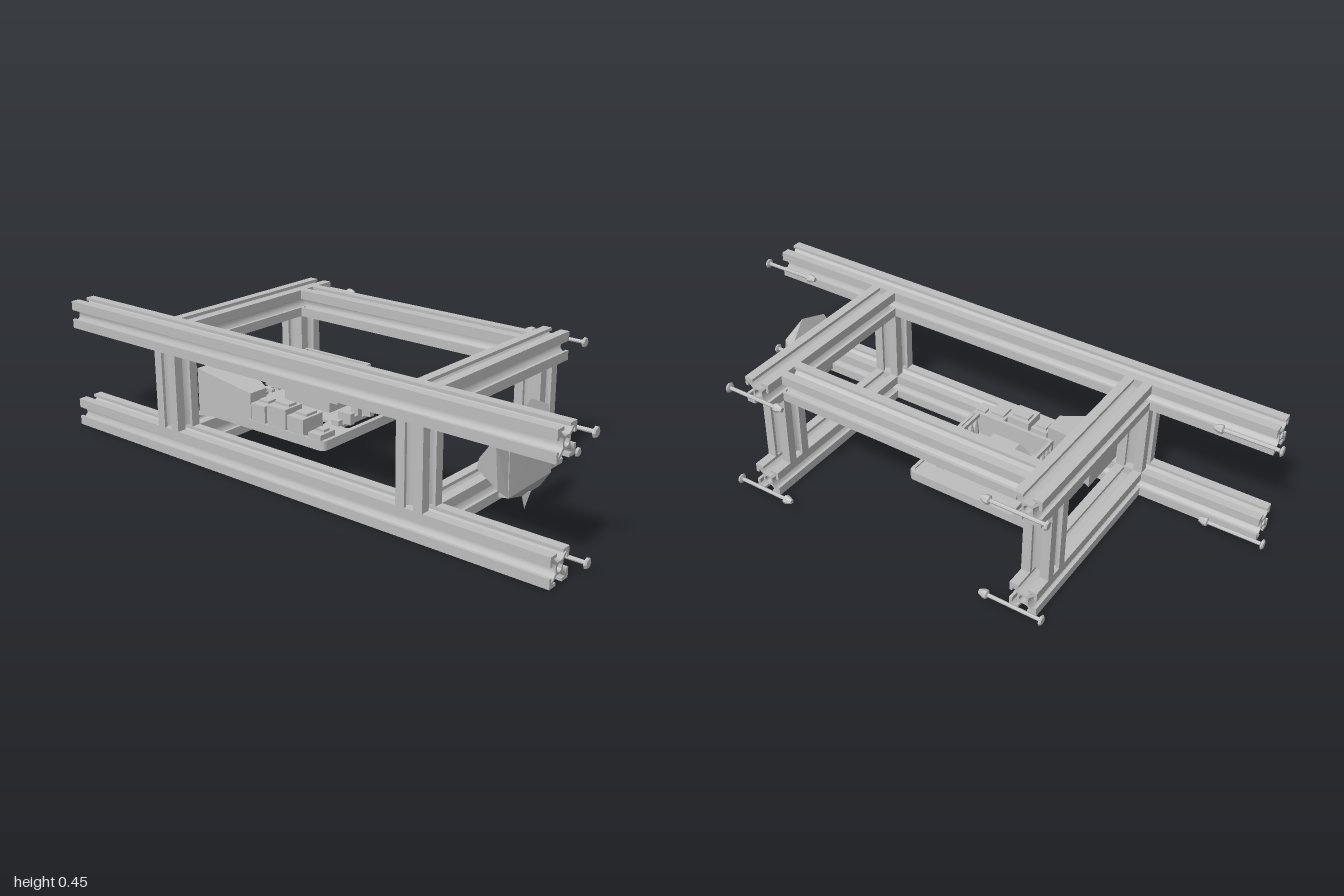
import * as THREE from 'three';
import { toCreasedNormals } from 'three/addons/utils/BufferGeometryUtils.js';
import { ConvexGeometry } from 'three/addons/geometries/ConvexGeometry.js';

const aluminium = new THREE.MeshStandardMaterial({ color: 0xbfbfbf, side: THREE.DoubleSide });
aluminium.name = 'aluminium grey';

function add(parent, name, geometry, x = 0, y = 0, z = 0) {
  const mesh = new THREE.Mesh(geometry, aluminium);
  mesh.name = name;
  mesh.position.set(x, y, z);
  parent.add(mesh);
  return mesh;
}

// Box given by its limits on each axis
function box(parent, name, [x0, x1], [y0, y1], [z0, z1]) {
  return add(parent, name, new THREE.BoxGeometry(x1 - x0, y1 - y0, z1 - z0),
    (x0 + x1) / 2, (y0 + y1) / 2, (z0 + z1) / 2);
}

function hull(parent, name, points) {
  return add(parent, name, new ConvexGeometry(points.map(p => new THREE.Vector3(...p))));
}

// T-slot section: one side repeated four times around a round bore
function slotProfile() {
  const half = [[0.0475, 0.0475], [0.016, 0.0475], [0.016, 0.0375], [0.032, 0.0375], [0.0135, 0.019]];
  const side = [...half, ...half.slice(1).reverse().map(([x, y]) => [-x, y])];
  const points = [];
  for (let i = 0; i < 4; i++) {
    for (const [x, y] of side) {
      points.push(new THREE.Vector2(x, y).rotateAround(new THREE.Vector2(), i * Math.PI / 2));
    }
  }
  const shape = new THREE.Shape(points);
  shape.holes.push(new THREE.Path().absarc(0, 0, 0.013, 0, Math.PI * 2, true));
  return shape;
}

function beam(parent, name, axis, length, x, y, z) {
  const g = new THREE.ExtrudeGeometry(slotProfile(), { depth: length, bevelEnabled: false, curveSegments: 8 });
  g.translate(0, 0, -length / 2);
  if (axis === 'x') g.rotateY(Math.PI / 2);
  if (axis === 'y') g.rotateX(-Math.PI / 2);
  return add(parent, name, toCreasedNormals(g, 0.8), x, y, z);
}

// Bolt along x, its flange pointing outwards
function bolt(parent, name, side, outerX, y, z) {
  const profile = [[0, 0], [0.013, 0], [0.017, 0.004], [0.017, 0.008], [0.0065, 0.012], [0.0065, 0.19],
    [0.015, 0.194], [0.015, 0.204], [0.008, 0.222], [0, 0.222]];
  const g = new THREE.LatheGeometry(profile.map(p => new THREE.Vector2(...p)), 8);
  g.rotateZ(side * Math.PI / 2);
  add(parent, name, toCreasedNormals(g, 0.5), side * outerX, y, z);
}

function rectPath(path, x0, x1, y0, y1, r) {
  path.moveTo(x0 + r, y0).lineTo(x1 - r, y0).quadraticCurveTo(x1, y0, x1, y0 + r)
    .lineTo(x1, y1 - r).quadraticCurveTo(x1, y1, x1 - r, y1)
    .lineTo(x0 + r, y1).quadraticCurveTo(x0, y1, x0, y1 - r)
    .lineTo(x0, y0 + r).quadraticCurveTo(x0, y0, x0 + r, y0);
  return path;
}

// Flat slab lying in the xz plane, from an outline drawn with y = -z
function slab(parent, name, shape, y, height) {
  const g = new THREE.ExtrudeGeometry(shape, { depth: height, bevelEnabled: false, curveSegments: 4 });
  g.rotateX(-Math.PI / 2);
  return add(parent, name, toCreasedNormals(g, 0.5), 0, y, 0);
}

function buildFrame() {
  const frame = new THREE.Group();
  frame.name = 'frame';
  for (const [level, y] of [['lower', 0.0475], ['upper', 0.4025]]) {
    beam(frame, level + 'FrontRail', 'x', 1.92, 0, y, 0.3655);
    for (const s of [-1, 1]) beam(frame, level + 'SideRail', 'z', 0.673, s * 0.4975, y, -0.0185);
  }
  beam(frame, 'upperBackRail', 'x', 0.9, 0, 0.4025, -0.2425);
  for (const s of [-1, 1]) {
    for (const z of [0.3655, -0.2425]) beam(frame, 'post', 'y', 0.26, s * 0.4975, 0.225, z);
    for (const y of [0.037, 0.412]) {
      bolt(frame, 'frontBolt', s, 1, y, 0.28);
      bolt(frame, 'backBolt', s, 0.588, y, -0.39);
    }
  }
  return frame;
}

function buildBoard() {
  const board = new THREE.Group();
  board.name = 'circuitBoard';

  // Rim and the pierced board inside it
  const rim = rectPath(new THREE.Shape(), -0.425, 0.065, -0.28, 0.15, 0.02);
  rim.holes.push(rectPath(new THREE.Path(), -0.413, 0.053, -0.268, 0.138, 0.015));
  slab(board, 'trayRim', rim, 0.115, 0.032);
  const plate = rectPath(new THREE.Shape(), -0.415, 0.055, -0.27, 0.14, 0.015);
  plate.holes.push(rectPath(new THREE.Path(), -0.27, -0.05, -0.185, -0.115, 0.02));
  plate.holes.push(rectPath(new THREE.Path(), 0.005, 0.04, -0.13, 0.07, 0.01));
  slab(board, 'boardPlate', plate, 0.132, 0.01);

  // Small parts along the open edges
  for (let i = 0; i < 7; i++) {
    const z = -0.08 + i * 0.033;
    box(board, 'chip', [-0.025, 0.005 + (i % 3) * 0.012], [0.142, 0.16 + (i % 2) * 0.02], [z, z + 0.02]);
    box(board, 'edgePin', [-0.405, -0.385], [0.142, 0.152], [z, z + 0.016]);
  }
  // Row of sockets on the front edge
  for (const [x0, x1, top, z0] of [[-0.245, -0.185, 0.205, 0.2], [-0.175, -0.095, 0.215, 0.2],
    [-0.088, -0.02, 0.2, 0.185], [0, 0.052, 0.165, 0.21]]) {
    box(board, 'socket', [x0, x1], [0.142, top], [z0, 0.278]);
    box(board, 'socketLip', [x0 + 0.01, x1 - 0.01], [top, top + 0.008], [z0 + 0.015, 0.25]);
  }

  // Flared duct towards the right post
  hull(board, 'flaredDuct', [
    [-0.45, 0.125, 0.315], [-0.45, 0.29, 0.315], [-0.45, 0.125, 0.125], [-0.45, 0.29, 0.125],
    [-0.25, 0.14, 0.275], [-0.25, 0.235, 0.275], [-0.25, 0.14, 0.2], [-0.25, 0.235, 0.2]]);

  // Cooler: base, two walls, toothed ends and a faceted hub
  const cooler = new THREE.Group();
  cooler.name = 'cooler';
  board.add(cooler);
  box(cooler, 'coolerPedestal', [-0.3, -0.1], [0.142, 0.195], [-0.045, 0.06]);
  box(cooler, 'coolerBase', [-0.355, -0.035], [0.195, 0.207], [-0.098, 0.095]);
  for (const z of [-0.095, 0.08]) box(cooler, 'coolerWall', [-0.33, -0.05], [0.207, 0.285], [z, z + 0.012]);
  for (const x of [-0.33, -0.06]) {
    box(cooler, 'coolerTopBar', [x, x + 0.01], [0.272, 0.285], [-0.09, 0.09]);
    for (let i = 0; i < 6; i++) {
      const tooth = add(cooler, 'coolerTooth', toCreasedNormals(new THREE.ConeGeometry(0.018, 0.068, 4), 0.3),
        x + 0.005, 0.24, -0.07 + i * 0.028);
      tooth.scale.x = 0.4;
    }
  }
  const hub = new THREE.CylinderGeometry(0.07, 0.12, 0.06, 4).rotateY(Math.PI / 4);
  add(cooler, 'coolerHub', toCreasedNormals(hub, 0.3), -0.19, 0.237, -0.005).scale.z = 0.85;
  return board;
}

// Faceted shell standing beside the frame
function buildShell() {
  const shell = new THREE.Group();
  shell.name = 'facetedShell';
  hull(shell, 'shellBody', [
    [0.692, 0.11, 0.2], [0.692, 0.312, 0.205], [0.71, 0.31, 0.02], [0.71, 0.13, 0],
    [0.685, 0.38, 0.09], [0.69, 0.34, 0], [0.68, 0.345, 0.2], [0.66, 0.31, -0.01],
    [0.66, 0.115, -0.01], [0.685, 0.085, 0.02], [0.68, 0.08, 0.1], [0.665, 0.11, 0.21],
    [0.665, 0.31, 0.21], [0.66, 0.31, 0.12], [0.66, 0.12, 0.12]]);
  hull(shell, 'shellNose', [
    [0.615, 0.2, 0.252], [0.625, 0.235, 0.256], [0.68, 0.31, 0.26], [0.68, 0.145, 0.24],
    [0.69, 0.312, 0.205], [0.69, 0.11, 0.2], [0.662, 0.31, 0.12], [0.662, 0.12, 0.12], [0.65, 0.21, 0.13]]);
  hull(shell, 'shellSpike', [[0.685, 0.04, 0.1], [0.68, 0.085, 0.11], [0.69, 0.09, 0.075], [0.67, 0.09, 0.09]]);
  return shell;
}

export function createModel() {
  const model = new THREE.Group();
  model.name = 'slottedFrameAssembly';
  model.add(buildFrame(), buildBoard(), buildShell());
  return model;
}
